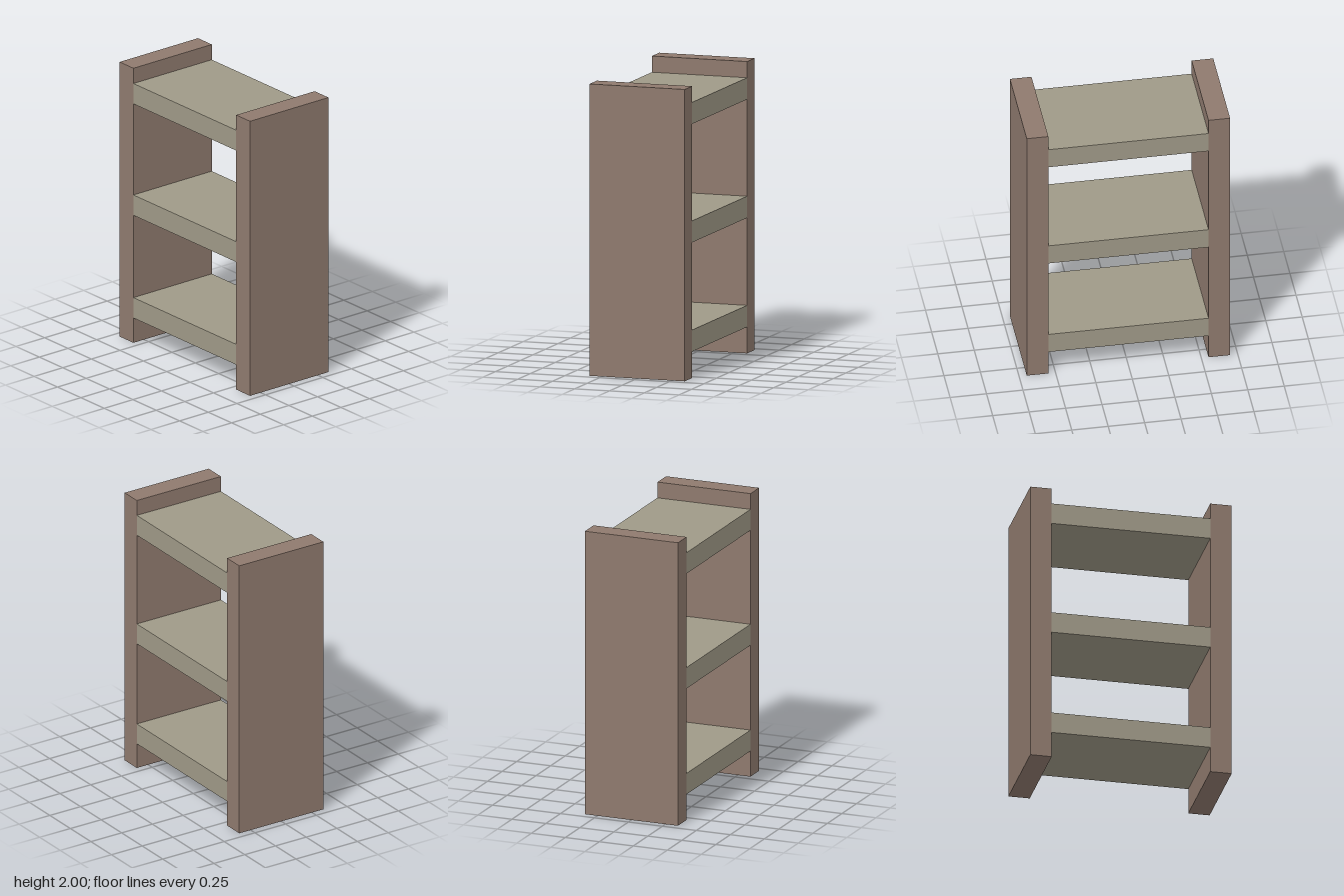
import * as THREE from 'three';

const HEIGHT = 2;
const WIDTH = 1.395;
const DEPTH = 0.685;
const BOARD = 0.148; // thickness of every board

export function createModel() {
  const group = new THREE.Group();
  group.name = 'shelfUnit';

  const panelBrown = new THREE.MeshStandardMaterial({ color: 0x8f7a6e });
  panelBrown.name = 'panelBrown';
  const shelfTan = new THREE.MeshStandardMaterial({ color: 0x9f9987 });
  shelfTan.name = 'shelfTan';

  const addBoard = (name, width, height, x, y, material) => {
    const board = new THREE.Mesh(new THREE.BoxGeometry(width, height, DEPTH), material);
    board.name = name;
    board.position.set(x, y, 0);
    group.add(board);
  };

  // Upright side panels
  for (const [name, side] of [['leftPanel', 1], ['rightPanel', -1]]) {
    addBoard(name, BOARD, HEIGHT, side * (WIDTH - BOARD) / 2, HEIGHT / 2, panelBrown);
  }

  // Shelves spanning between the panels
  const shelfHeights = { lowerShelf: 0.255, middleShelf: 1.003, upperShelf: 1.815 };
  for (const [name, y] of Object.entries(shelfHeights)) {
    addBoard(name, WIDTH - 2 * BOARD, BOARD, 0, y, shelfTan);
  }

  return group;
}
